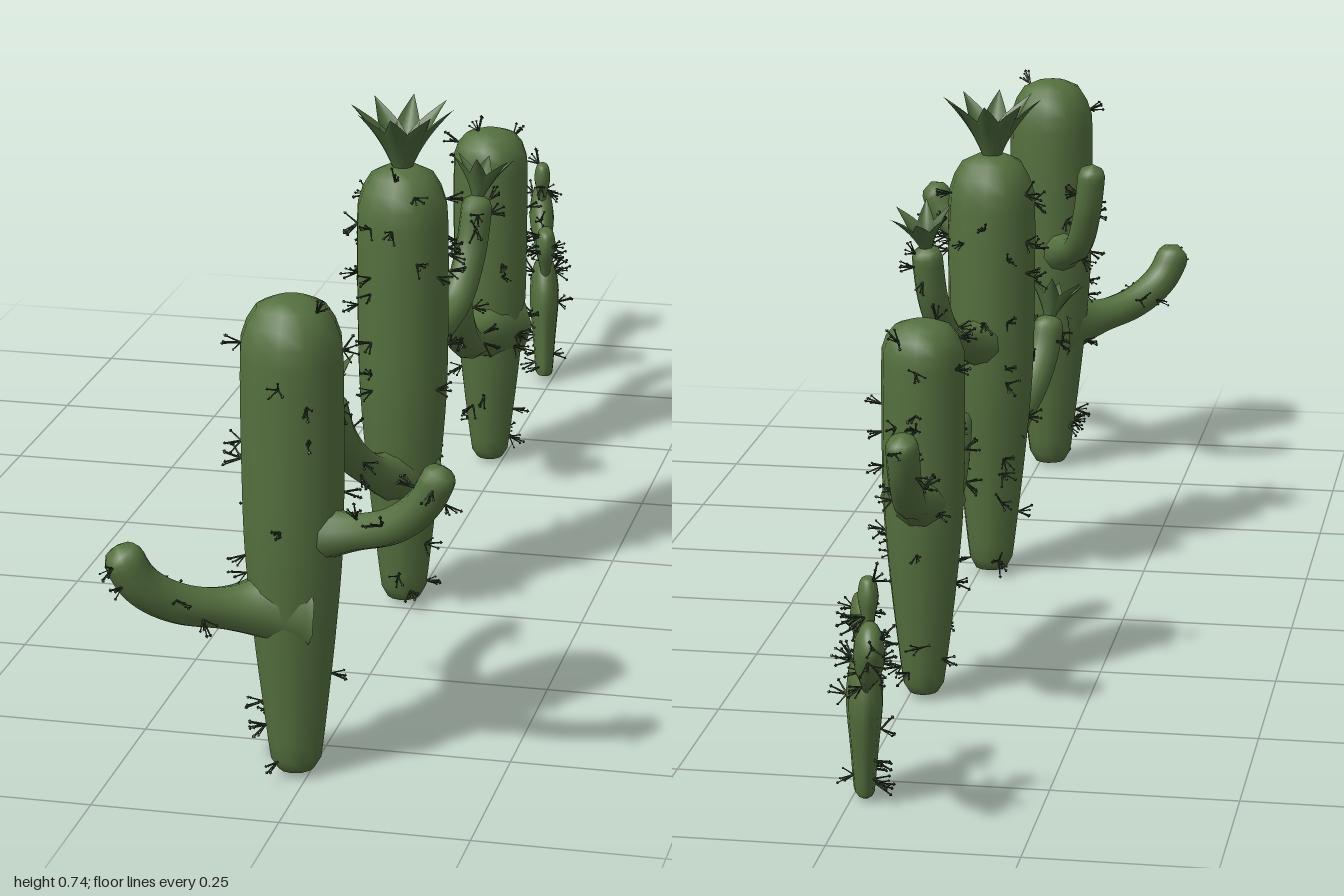
import * as THREE from 'three';
import { mergeGeometries, mergeVertices } from 'three/addons/utils/BufferGeometryUtils.js';

const V = (x, y, z) => new THREE.Vector3(x, y, z);
const UP = V(0, 1, 0);
const green = new THREE.MeshStandardMaterial({ color: 0x55703f, roughness: 0.9 });
const leafGreen = new THREE.MeshStandardMaterial({ color: 0x4c683c, roughness: 0.9, side: THREE.DoubleSide });
const spineGreen = new THREE.MeshStandardMaterial({ color: 0x2c3d26 });

let seed = 7;
const rand = () => (seed = (seed * 16807) % 2147483647) / 2147483647;

function addMesh(group, name, geometry, material) {
  const mesh = new THREE.Mesh(geometry, material);
  mesh.name = name;
  group.add(mesh);
  return mesh;
}

// Weld seams so the recomputed normals are smooth
function smooth(geometry) {
  geometry.deleteAttribute('uv');
  geometry.deleteAttribute('normal');
  const g = mergeVertices(geometry, 1e-5);
  g.computeVertexNormals();
  return g;
}

// Lathe from [radius, height] pairs, rounded by a spline
function turned(profile, segments) {
  const curve = new THREE.SplineCurve(profile.map(([r, y]) => new THREE.Vector2(r, y)));
  const pts = curve.getSpacedPoints(30).map(p => new THREE.Vector2(Math.max(p.x, 0), Math.max(p.y, 0)));
  return smooth(new THREE.LatheGeometry(pts, segments));
}

function trunkGeometry(h, r, cap) {
  return turned([
    [0, 0], [0.4 * r, 0], [0.49 * r, 0.012], [0.66 * r, 0.16 * h], [0.82 * r, 0.31 * h],
    [0.96 * r, 0.48 * h], [r, 0.65 * h], [r, h - cap * 1.5], [0.93 * r, h - cap * 0.8],
    [0.68 * r, h - cap * 0.22], [0.32 * r, h - cap * 0.02], [0, h],
  ], 12);
}

// Bent arm: a tube flared at the trunk and domed at the tip
function armGeometry(points, r) {
  const curve = new THREE.CatmullRomCurve3(points.map(p => V(...p)));
  const rings = 32, sides = 10, length = curve.getLength();
  const g = new THREE.TubeGeometry(curve, rings, 1, sides, false);
  const pos = g.attributes.position, v = V();
  for (let i = 0; i <= rings; i++) {
    const u = i / rings, c = curve.getPointAt(u);
    const dome = Math.max(0, 1 - (1 - u) * length / r);
    const radius = r * (1 + 1.6 * Math.max(0, 1 - u / 0.42) ** 2) * Math.sqrt(Math.max(0, 1 - dome * dome));
    for (let j = 0; j <= sides; j++) {
      const k = i * (sides + 1) + j;
      v.fromBufferAttribute(pos, k).sub(c).multiplyScalar(radius).add(c);
      pos.setXYZ(k, v.x, v.y, v.z);
    }
  }
  return { geometry: smooth(g), tip: curve.getPointAt(1), dir: curve.getTangentAt(1) };
}

// One needle with a knobbed end, standing on the origin
function needleGeometry() {
  const shaft = new THREE.CylinderGeometry(0.0009, 0.0015, 0.022, 4, 1, true).toNonIndexed();
  shaft.translate(0, 0.011, 0);
  const knob = new THREE.OctahedronGeometry(0.0026);
  knob.translate(0, 0.022, 0);
  return mergeGeometries([shaft, knob]);
}
const needle = needleGeometry();

// Scatter clusters of five needles over a surface, skipping its first part
function scatterSpines(list, surface, count, skip = 0) {
  const { position, normal } = surface.attributes;
  const p = V(), n = V(), q = new THREE.Quaternion();
  for (let c = 0, tries = 0; c < count && tries < 500; tries++) {
    const i = Math.floor((skip + (1 - skip) * rand()) * position.count);
    p.fromBufferAttribute(position, i);
    n.fromBufferAttribute(normal, i);
    if (n.y < -0.6 || (n.y > 0.6 && rand() < 0.8)) continue;
    c++;
    for (let k = 0; k < 5; k++) {
      const d = n.clone().add(V(rand() - 0.5, rand() - 0.5, rand() - 0.5).multiplyScalar(1.3)).normalize();
      q.setFromUnitVectors(UP, d);
      const s = 0.75 + 0.4 * rand();
      list.push(needle.clone().applyMatrix4(new THREE.Matrix4().compose(p, q, V(s, s, s))));
    }
  }
}

// Pointed leaf rising from the origin and curling outward along +z
function leafGeometry() {
  const g = new THREE.PlaneGeometry(1, 1, 4, 10);
  const pos = g.attributes.position;
  for (let i = 0; i < pos.count; i++) {
    const t = pos.getY(i) + 0.5, side = pos.getX(i);
    const w = 0.008 * (1 - t) + 0.038 * Math.sin(Math.PI * Math.pow(t, 0.9));
    pos.setXYZ(i, side * w, 0.094 * t - 0.008, 0.012 + 0.03 * t + 0.032 * t * t - 0.3 * w * side * side * 4);
  }
  g.computeVertexNormals();
  return g;
}

// Ring of leaves around a tip
function addLeaves(group, name, tip, dir, scale, count) {
  const crown = new THREE.Group();
  crown.name = name;
  const g = leafGeometry();
  for (let i = 0; i < count; i++) {
    addMesh(crown, 'leaf', g, leafGreen).rotation.y = (i / count) * Math.PI * 2;
  }
  crown.position.copy(tip);
  crown.quaternion.setFromUnitVectors(UP, dir);
  crown.scale.setScalar(scale);
  group.add(crown);
}

function columnCactus({ name, x, z, h, r, cap, spines, arms, leafy }) {
  const cactus = new THREE.Group();
  cactus.name = name;
  const needles = [];
  const trunk = trunkGeometry(h, r, cap);
  addMesh(cactus, 'trunk', trunk, green);
  scatterSpines(needles, trunk, spines);
  for (const { path, r: armR, spines: n } of arms) {
    const arm = armGeometry(path, armR);
    addMesh(cactus, 'arm', arm.geometry, green);
    scatterSpines(needles, arm.geometry, n, 0.42);
    if (leafy) addLeaves(cactus, 'armLeaves', arm.tip.addScaledVector(arm.dir, -0.005), arm.dir, 0.65, 6);
  }
  if (leafy) addLeaves(cactus, 'crownLeaves', V(0, h - 0.002, 0), UP, 1, 8);
  addMesh(cactus, 'spines', mergeGeometries(needles), spineGreen);
  cactus.position.set(x, 0, z);
  return cactus;
}

// Flat pads: a = base [z, y], b = tip [z, y], w = half width, t = half thickness
function padCactus() {
  const cactus = new THREE.Group();
  cactus.name = 'padCactus';
  const needles = [];
  const pads = [
    { a: [-0.808, 0], b: [-0.832, 0.195], w: 0.057, t: 0.024, foot: 0.6, spines: 12 },
    { a: [-0.797, 0.165], b: [-0.778, 0.262], w: 0.026, t: 0.016, foot: 0.3, spines: 5 },
    { a: [-0.858, 0.155], b: [-0.988, 0.268], w: 0.037, t: 0.02, foot: 0.25, spines: 9 },
    { a: [-0.938, 0.25], b: [-0.93, 0.33], w: 0.018, t: 0.013, foot: 0.3, spines: 4 },
  ];
  const at = ([z, y]) => V(-0.005 + 0.24 * (z + 0.77), y, z);
  const across = V(-0.24, 0, -1).normalize();
  const flat = V().crossVectors(across, UP);
  for (const { a, b, w, t, foot, spines } of pads) {
    const base = at(a), axis = at(b).sub(base), len = axis.length();
    axis.normalize();
    const g = turned([[0, 0], [foot * 0.8, 0.005], [foot, 0.04], [0.5 * foot + 0.48, 0.32],
      [0.97, 0.58], [1, 0.74], [0.78, 0.92], [0.4, 0.985], [0, 1]], 14);
    const m = new THREE.Matrix4().makeBasis(V().crossVectors(axis, flat), axis, flat);
    m.setPosition(base).scale(V(w, len, t));
    g.applyMatrix4(m);
    addMesh(cactus, 'pad', g, green);
    scatterSpines(needles, g, spines);
  }
  addMesh(cactus, 'spines', mergeGeometries(needles), spineGreen);
  return cactus;
}

export function createModel() {
  seed = 7;
  const model = new THREE.Group();
  model.name = 'cactusSet';
  model.add(
    columnCactus({
      name: 'threeArmCactus', x: -0.018, z: 0.84, h: 0.645, r: 0.068, cap: 0.055, spines: 24,
      arms: [
        { path: [[0, 0.33, 0], [0.08, 0.343, 0.025], [0.145, 0.366, 0.045], [0.187, 0.405, 0.056], [0.212, 0.455, 0.062]], r: 0.024, spines: 6 },
        { path: [[0, 0.23, 0], [-0.07, 0.236, 0.05], [-0.13, 0.255, 0.095], [-0.17, 0.29, 0.125], [-0.195, 0.345, 0.14]], r: 0.027, spines: 6 },
        { path: [[0, 0.36, 0], [-0.035, 0.375, -0.07], [-0.065, 0.4, -0.135], [-0.083, 0.46, -0.172], [-0.094, 0.545, -0.19]], r: 0.022, spines: 3 },
      ],
    }),
    columnCactus({
      name: 'leafyCactus', x: -0.018, z: 0.215, h: 0.645, r: 0.066, cap: 0.055, spines: 46, leafy: true,
      arms: [
        { path: [[0, 0.19, 0], [-0.02, 0.21, 0.07], [-0.042, 0.25, 0.125], [-0.056, 0.3, 0.16], [-0.064, 0.36, 0.178]], r: 0.024, spines: 5 },
        { path: [[0, 0.36, 0], [0.02, 0.37, -0.07], [0.042, 0.395, -0.145], [0.056, 0.46, -0.19], [0.064, 0.55, -0.21]], r: 0.023, spines: 6 },
      ],
    }),
    columnCactus({
      name: 'twoArmCactus', x: -0.02, z: -0.395, h: 0.533, r: 0.058, cap: 0.035, spines: 38,
      arms: [
        { path: [[0, 0.22, 0], [-0.002, 0.223, 0.08], [-0.004, 0.238, 0.155], [-0.005, 0.28, 0.205], [-0.006, 0.35, 0.235]], r: 0.026, spines: 9 },
        { path: [[0, 0.28, 0], [-0.002, 0.293, -0.07], [-0.004, 0.315, -0.135], [-0.006, 0.36, -0.178], [-0.007, 0.425, -0.205]], r: 0.023, spines: 6 },
      ],
    }),
    padCactus(),
  );
  return model;
}
